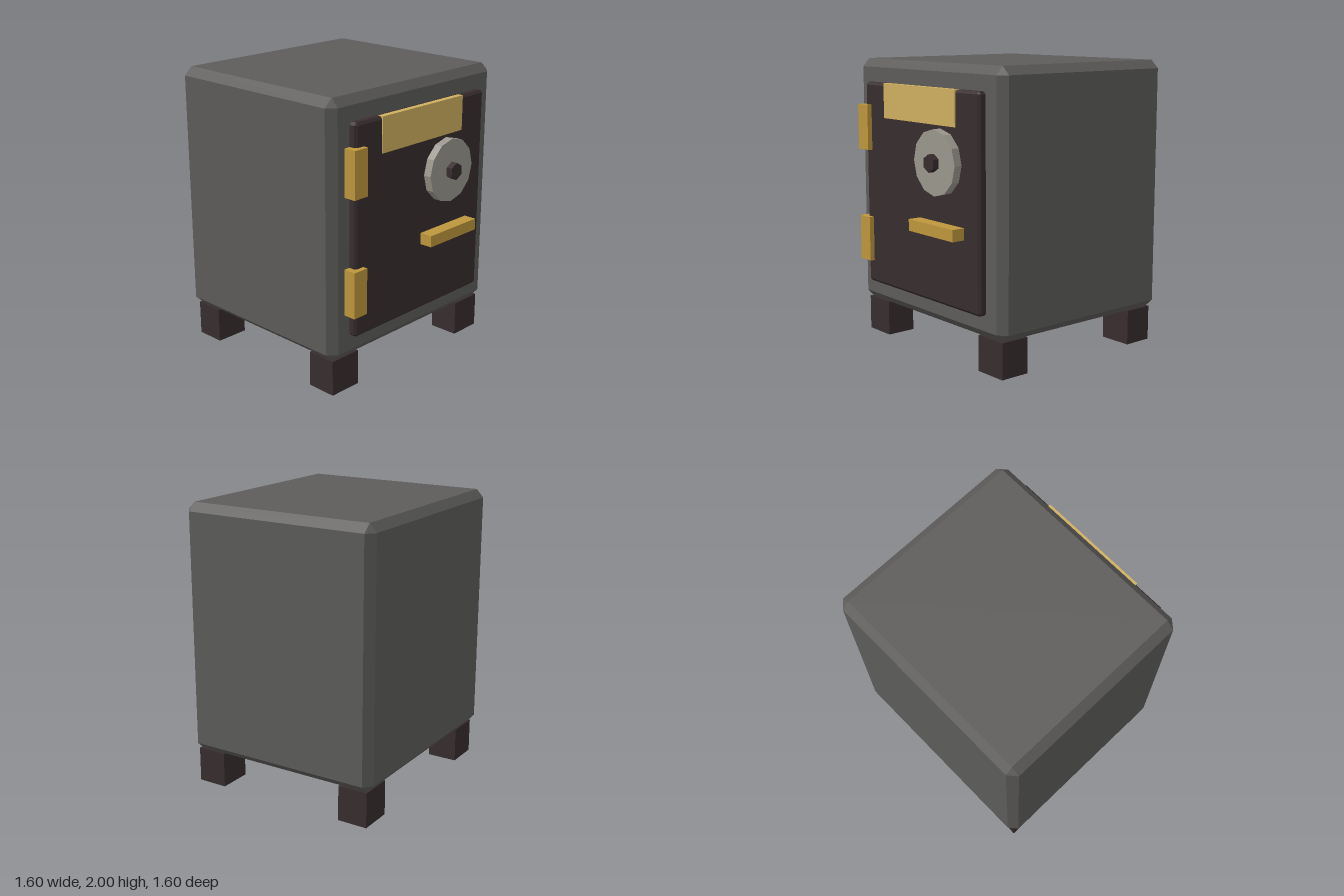
import * as THREE from 'three';
import { ConvexGeometry } from 'three/addons/geometries/ConvexGeometry.js';

const material = (name, color) => {
  const m = new THREE.MeshStandardMaterial({ color });
  m.name = name;
  return m;
};

// Box with flat chamfered edges: each corner becomes a small triangle
function chamferedBox(w, h, d, bx, by, bz) {
  const points = [];
  for (const sx of [-1, 1]) for (const sy of [-1, 1]) for (const sz of [-1, 1]) {
    const x = w / 2, y = h / 2, z = d / 2;
    points.push(
      new THREE.Vector3(sx * x, sy * (y - by), sz * (z - bz)),
      new THREE.Vector3(sx * (x - bx), sy * y, sz * (z - bz)),
      new THREE.Vector3(sx * (x - bx), sy * (y - by), sz * z));
  }
  return new ConvexGeometry(points);
}

export function createModel() {
  const safe = new THREE.Group();
  safe.name = 'safe';

  const steel = material('grey steel', 0x5d5c5a);
  const iron = material('dark iron', 0x382d2f);
  const brass = material('brass', 0xbe973d);
  const paleBrass = material('pale brass', 0xcfb05f);
  const silver = material('dial silver', 0x9b978d);
  for (const m of [steel, iron, brass, paleBrass, silver]) m.flatShading = true;

  const add = (name, geometry, mat, x, y, z) => {
    const mesh = new THREE.Mesh(geometry, mat);
    mesh.name = name;
    mesh.position.set(x, y, z);
    safe.add(mesh);
    return mesh;
  };
  // Box given by its lower and upper limits on each axis
  const block = (name, mat, [x0, x1], [y0, y1], [z0, z1]) =>
    add(name, new THREE.BoxGeometry(x1 - x0, y1 - y0, z1 - z0), mat,
      (x0 + x1) / 2, (y0 + y1) / 2, (z0 + z1) / 2);
  // Faceted disc facing the front, with a corner at the top
  const disc = (name, mat, radius, sides, z0, z1) => {
    const g = new THREE.CylinderGeometry(radius, radius, z1 - z0, sides).rotateX(Math.PI / 2);
    return add(name, g, mat, 0.24, 1.362, (z0 + z1) / 2);
  };

  // Body and door
  add('body', chamferedBox(1.6, 1.755, 1.447, 0.06, 0.056, 0.051), steel, 0, 1.1225, -0.0765);
  add('door', chamferedBox(1.274, 1.436, 0.11, 0.018, 0.018, 0.015), iron, 0, 1.122, 0.645);

  // Door fittings
  block('namePlate', paleBrass, [-0.4, 0.4], [1.602, 1.842], [0.665, 0.706]);
  block('handle', brass, [0, 0.48], [0.882, 0.962], [0.69, 0.792]);
  disc('dial', silver, 0.22, 12, 0.69, 0.756);
  disc('dialKnob', iron, 0.06, 6, 0.75, 0.8);

  // Hinges
  for (const y of [0.565, 1.365]) {
    block('hinge', brass, [-0.682, -0.564], [y, y + 0.318], [0.62, 0.735]);
  }

  // Feet
  for (const x of [-0.64, 0.64]) for (const z of [-0.652, 0.508]) {
    block('foot', iron, [x - 0.12, x + 0.12], [0, 0.246], [z - 0.107, z + 0.107]);
  }

  return safe;
}
